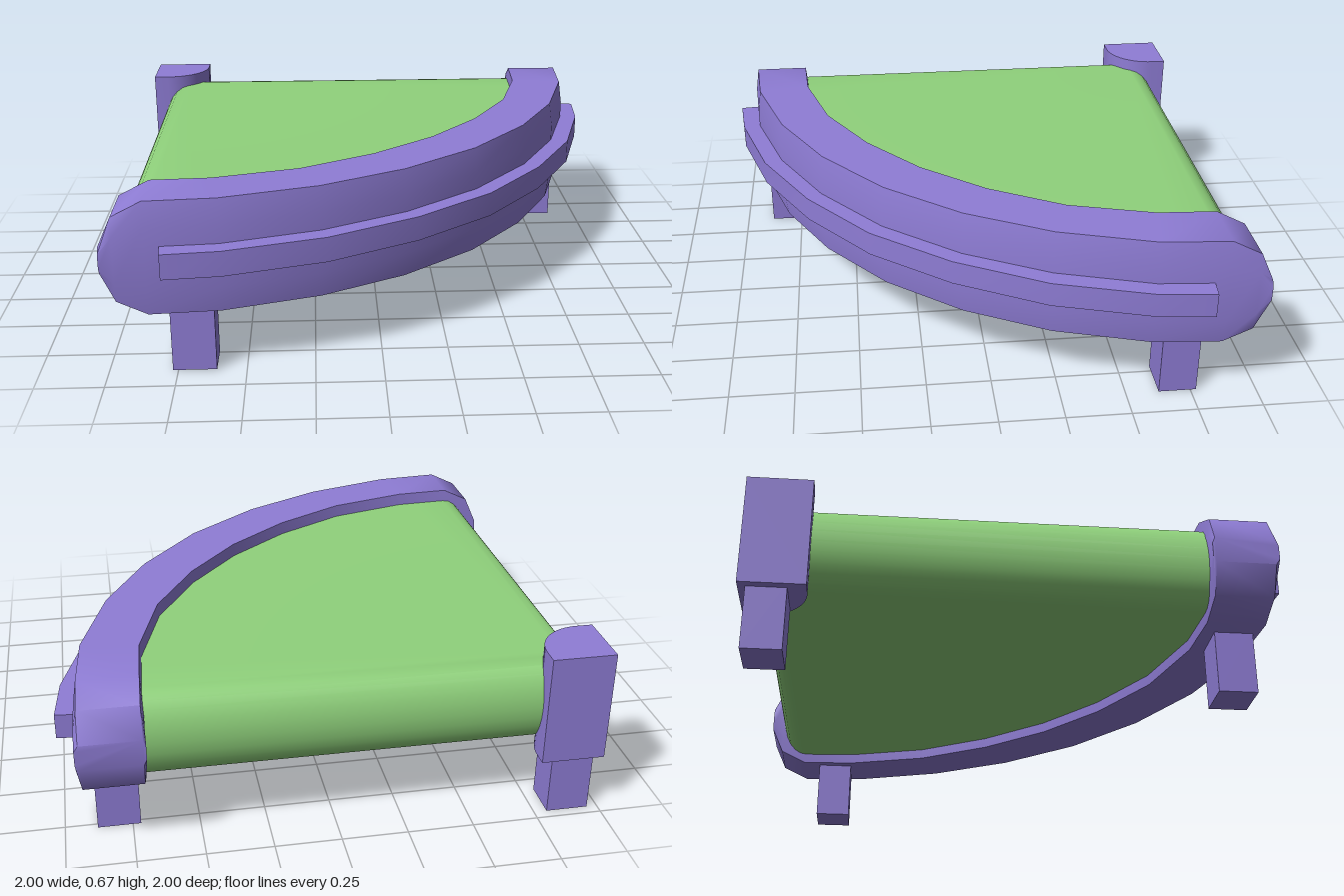
import * as THREE from 'three';
import { toCreasedNormals } from 'three/addons/utils/BufferGeometryUtils.js';

const purple = new THREE.MeshStandardMaterial({ color: 0x8f7dd6 });
const green = new THREE.MeshStandardMaterial({ color: 0x90d27c });

// Skin a list of closed rings of [x, y, z] points, with flat caps at both ends.
function loft(rings, crease) {
  const n = rings[0].length;
  const last = (rings.length - 1) * n;
  const index = [];
  for (let i = 0; i < rings.length - 1; i++) {
    for (let j = 0; j < n; j++) {
      const a = i * n + j;
      const b = i * n + (j + 1) % n;
      index.push(a, b, a + n, b, b + n, a + n);
    }
  }
  for (let j = 1; j < n - 1; j++) {
    index.push(0, j + 1, j, last, last + j, last + j + 1);
  }
  const g = new THREE.BufferGeometry();
  g.setAttribute('position', new THREE.Float32BufferAttribute(rings.flat(2), 3));
  g.setIndex(index);
  return toCreasedNormals(g, crease);
}

// Complete a half arc by mirroring it across the x = z diagonal.
const swap = ([x, z]) => [z, x];
function mirrorArc(half, flip) {
  return [...half, ...half.slice(0, -1).reverse().map(flip)];
}

export function createModel() {
  const model = new THREE.Group();
  const add = (name, geometry, material) => {
    const mesh = new THREE.Mesh(geometry, material);
    mesh.name = name;
    model.add(mesh);
    return mesh;
  };

  // Curved rim: inner point, outer point and half height at each station;
  // the height shrinks at the tips to round them off.
  const stations = mirrorArc([
    { inner: [-1, 0.69], outer: [-1, 0.935], h: 0.05 },
    { inner: [-0.95, 0.69], outer: [-0.95, 0.932], h: 0.16 },
    { inner: [-0.84, 0.683], outer: [-0.84, 0.926], h: 0.215 },
    { inner: [-0.62, 0.67], outer: [-0.58, 0.905], h: 0.215 },
    { inner: [-0.3, 0.58], outer: [-0.22, 0.795], h: 0.215 },
    { inner: [-0.02, 0.42], outer: [0.1, 0.625], h: 0.215 },
    { inner: [0.22, 0.22], outer: [0.39, 0.39], h: 0.215 },
  ], (s) => ({ inner: swap(s.inner), outer: swap(s.outer), h: s.h }));
  const section = [
    [0.04, 1], [0.94, 1], [1, 0.55], [1, -0.55],
    [0.94, -1], [0.04, -1], [0, -0.55], [0, 0.55],
  ];
  const rimRings = stations.map(({ inner, outer, h }) => section.map(([u, v]) => [
    THREE.MathUtils.lerp(inner[0], outer[0], u),
    0.455 + h * v,
    THREE.MathUtils.lerp(inner[1], outer[1], u),
  ]));
  add('curvedRim', loft(rimRings, 0.9), purple);

  // Thin bumper strip around the outside of the rim
  const edge = mirrorArc([
    [-0.78, 0.997], [-0.57, 0.975], [-0.2, 0.865], [0.14, 0.68], [0.44, 0.44],
  ], swap);
  const stripRings = edge.map(([x, z]) => {
    const k = 0.93;
    const ix = -0.98 + (x + 0.98) * k;
    const iz = -0.98 + (z + 0.98) * k;
    return [[ix, 0.505, iz], [x, 0.505, z], [x, 0.41, z], [ix, 0.41, iz]];
  });
  add('bumperStrip', loft(stripRings, 0.6), purple);

  // Quarter-round cushion with rolled straight sides
  const cushionRings = [];
  for (let i = 0; i <= 12; i++) {
    const t = (i / 12 - 0.5) * Math.PI;
    const y = 0.45 + 0.17 * Math.sin(t);
    const c = -0.945 + 0.11 * (1 - Math.cos(t));
    const ring = [[c, y, c]];
    const start = Math.asin((c + 0.98) / 1.75);
    for (let j = 0; j <= 16; j++) {
      const a = start + (j / 16) * (Math.PI / 2 - 2 * start);
      ring.push([-0.98 + 1.75 * Math.sin(a), y, -0.98 + 1.75 * Math.cos(a)]);
    }
    cushionRings.push(ring);
  }
  add('cushion', loft(cushionRings, 0.8), green);

  // Corner post with a rounded inner corner
  const outline = new THREE.Shape();
  outline.moveTo(-0.99, -0.99);
  outline.lineTo(-0.75, -0.99);
  outline.lineTo(-0.75, -0.93);
  outline.absarc(-0.93, -0.93, 0.18, 0, Math.PI / 2);
  outline.lineTo(-0.99, -0.75);
  const post = new THREE.ExtrudeGeometry(outline, { depth: 0.43, bevelEnabled: false, curveSegments: 8 });
  post.rotateX(Math.PI / 2).translate(0, 0.67, 0);
  add('cornerPost', toCreasedNormals(post, 0.6), purple);

  // Three short legs
  const legs = { cornerLeg: [-0.88, -0.89], frontLeg: [-0.69, 0.81], sideLeg: [0.8, -0.7] };
  for (const [name, [x, z]] of Object.entries(legs)) {
    add(name, new THREE.BoxGeometry(0.16, 0.26, 0.145), purple).position.set(x, 0.13, z);
  }

  return model;
}
